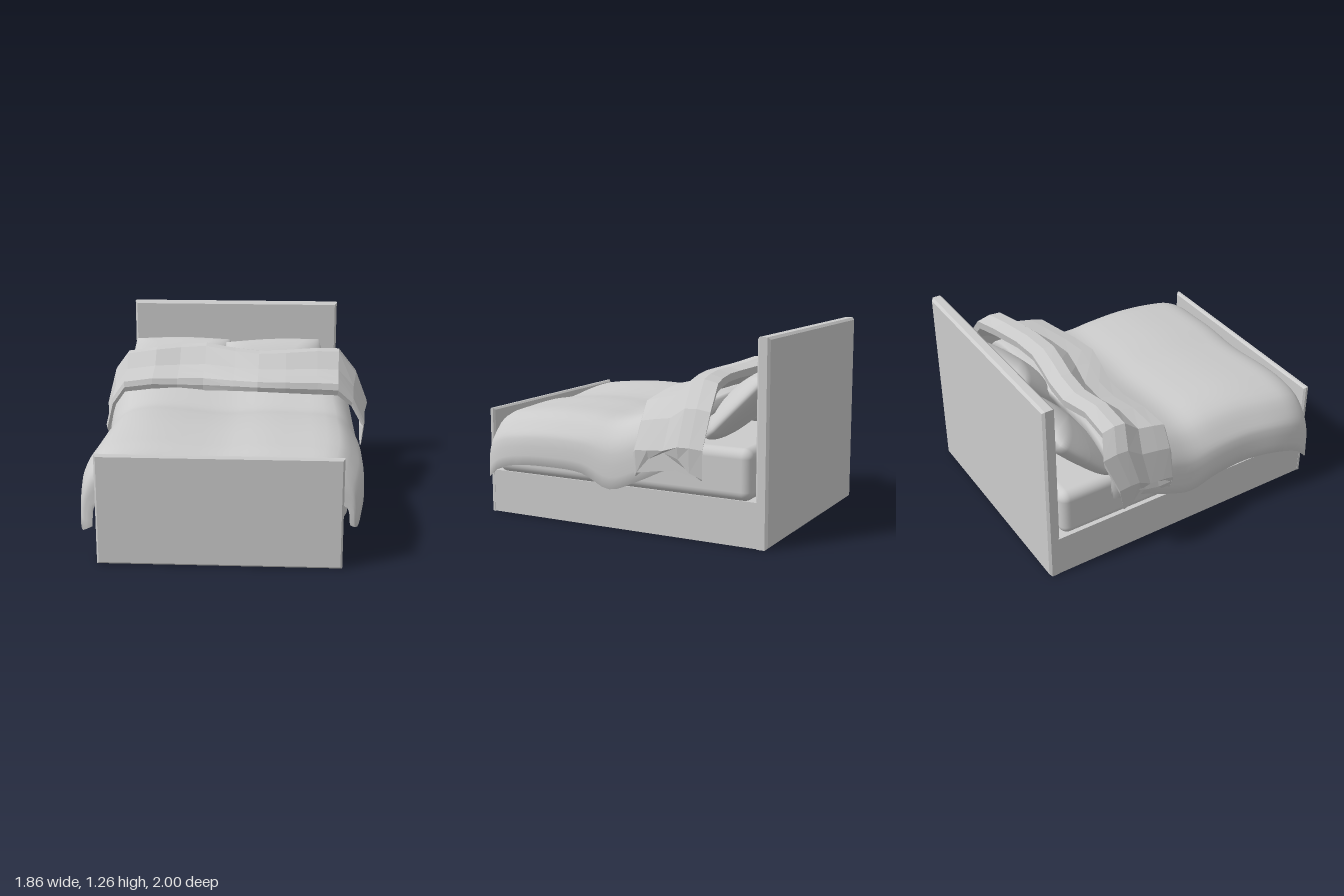
import * as THREE from 'three';
import { RoundedBoxGeometry } from 'three/addons/geometries/RoundedBoxGeometry.js';

const grey = new THREE.MeshStandardMaterial({ color: 0xcccccc });
const cloth = new THREE.MeshStandardMaterial({ color: 0xcccccc, side: THREE.DoubleSide });
const facetedCloth = new THREE.MeshStandardMaterial({ color: 0xcccccc, side: THREE.DoubleSide, flatShading: true });
const V = (x, y, z) => new THREE.Vector3(x, y, z);

function add(group, name, geometry, material) {
  const mesh = new THREE.Mesh(geometry, material);
  mesh.name = name;
  group.add(mesh);
  return mesh;
}

// Board given by its limits on each axis, with chamfered edges
function board(group, name, [x0, x1], [y0, y1], [z0, z1], chamfer) {
  const c = chamfer;
  const shape = new THREE.Shape([
    new THREE.Vector2(x0 + c, y0 + c), new THREE.Vector2(x1 - c, y0 + c),
    new THREE.Vector2(x1 - c, y1 - c), new THREE.Vector2(x0 + c, y1 - c),
  ]);
  const geo = new THREE.ExtrudeGeometry(shape, {
    depth: z1 - z0 - 2 * c, bevelEnabled: true, bevelSize: c, bevelThickness: c, bevelSegments: 1,
  });
  add(group, name, geo.translate(0, 0, z0 + c), grey);
}

// Joins a row of closed cross-sections and caps both ends
function loft(loops) {
  const n = loops[0].length, last = (loops.length - 1) * n, index = [];
  for (let r = 0; r < loops.length - 1; r++) {
    for (let i = 0; i < n; i++) {
      const a = r * n + i, b = r * n + (i + 1) % n;
      index.push(a, b, a + n, b, b + n, a + n);
    }
  }
  // Strip caps between the outer and inner side of the section
  for (let i = 0, j = n - 1; i + 1 < j; i++, j--) {
    index.push(i, j, i + 1);
    index.push(last + i, last + i + 1, last + j);
    if (i + 1 < j - 1) {
      index.push(i + 1, j, j - 1);
      index.push(last + i + 1, last + j - 1, last + j);
    }
  }
  const geo = new THREE.BufferGeometry().setFromPoints(loops.flat());
  geo.setIndex(index);
  geo.computeVertexNormals();
  return geo;
}

// Smooth curve through points, evenly resampled
const smooth = (points, count) => {
  const curve = new THREE.CatmullRomCurve3(points, false, 'centripetal');
  return Array.from({ length: count + 1 }, (_, i) => curve.getPoint(i / count));
};

// Duvet: hanging cross-sections from foot to head
function duvetGeometry() {
  // z, top height, left edge x, its hem height, right edge x, its hem height
  const rows = [
    [0.96, 0.5, -0.84, 0.22, 0.77, 0.26],
    [0.945, 0.63, -0.88, 0.2, 0.79, 0.26],
    [0.85, 0.69, -0.9, 0.29, 0.82, 0.33],
    [0.7, 0.715, -0.9, 0.35, 0.84, 0.37],
    [0.45, 0.735, -0.875, 0.38, 0.845, 0.385],
    [0.2, 0.73, -0.87, 0.36, 0.84, 0.37],
    [0, 0.715, -0.87, 0.31, 0.84, 0.29],
    [-0.2, 0.775, -0.88, 0.38, 0.82, 0.36],
    [-0.4, 0.85, -0.88, 0.47, 0.8, 0.45],
    [-0.58, 0.85, -0.86, 0.5, 0.8, 0.48],
  ];
  // Heights of the soft swell across the bed
  const swell = [[-0.58, 0.02], [-0.4, 0.02], [-0.05, -0.012], [0.2, 0.003], [0.42, -0.003]];
  const sections = rows.map(([z, top, xl, hl, xr, hr]) => {
    const outer = [
      V(xl, hl, z), V(xl + 0.015, (hl + top) / 2, z), V(xl + 0.06, top - 0.11, z), V(xl + 0.15, top - 0.02, z),
      ...swell.map(([x, h]) => V(x, top + h, z)),
      V(xr - 0.16, top - 0.025, z), V(xr - 0.06, top - 0.11, z), V(xr - 0.015, (hr + top) / 2, z), V(xr, hr, z),
    ];
    const inner = [
      V(xr - 0.025, hr + 0.01, z), V(xr - 0.045, (hr + top) / 2, z), V(xr - 0.12, top - 0.11, z), V(0, top - 0.06, z),
      V(xl + 0.12, top - 0.11, z), V(xl + 0.045, (hl + top) / 2, z), V(xl + 0.025, hl + 0.01, z),
    ];
    return [...smooth(outer, 36), ...smooth(inner, 36)];
  });
  const columns = sections[0].map((_, i) => smooth(sections.map((s) => s[i]), 36));
  return loft(columns[0].map((_, r) => columns.map((c) => c[r])));
}

// Folded band of duvet: faceted section carried across the bed
function foldGeometry() {
  // front edge x, y; ridge x, y; front z, back z
  const stations = [
    [-0.86, 0.38, -0.9, 0.42, -0.18, -0.53],
    [-0.9, 0.5, -0.935, 0.62, -0.17, -0.58],
    [-0.855, 0.68, -0.88, 0.85, -0.16, -0.66],
    [-0.77, 0.8, -0.785, 0.98, -0.15, -0.61],
    [-0.58, 0.82, -0.58, 1.01, -0.17, -0.61],
    [-0.41, 0.81, -0.41, 1.02, -0.2, -0.66],
    [-0.23, 0.81, -0.23, 1.035, -0.2, -0.65],
    [-0.02, 0.82, -0.02, 1.01, -0.14, -0.6],
    [0.15, 0.825, 0.15, 1.0, -0.1, -0.57],
    [0.34, 0.815, 0.34, 1.005, -0.12, -0.585],
    [0.56, 0.8, 0.56, 1.01, -0.16, -0.64],
    [0.7, 0.79, 0.715, 1.0, -0.18, -0.68],
    [0.8, 0.7, 0.84, 0.84, -0.2, -0.69],
    [0.88, 0.55, 0.925, 0.62, -0.2, -0.68],
    [0.865, 0.4, 0.905, 0.44, -0.2, -0.67],
  ];
  // Fraction from front to back, fraction from front edge to ridge
  const profile = [
    [0.02, -0.14], [0, 0.04], [0.03, 0.24], [0.21, 0.36], [0.44, 0.48], [0.66, 0.97],
    [0.82, 1], [1, 0.9], [0.98, 0.62], [0.75, 0.5], [0.5, 0.1], [0.25, -0.15],
  ];
  const count = stations.length - 1;
  return loft(stations.map(([fx, fy, rx, ry, zf, zb], s) => profile.map(([u, h]) => {
    // The hanging ends rise toward the middle of their hem
    const lift = s === 0 || s === count ? 0.15 * Math.sin(Math.PI * Math.min(1, u * 1.15)) : 0;
    return V(fx + (rx - fx) * h, fy + (ry - fy) * h + lift, zf + (zb - zf) * u);
  })));
}

// Pillow: squared-off sphere that thins toward its seam
function pillowGeometry(width, length, thickness) {
  const geo = new THREE.SphereGeometry(1, 40, 24);
  const p = geo.attributes.position;
  for (let i = 0; i < p.count; i++) {
    const x = p.getX(i), y = p.getY(i), z = p.getZ(i);
    const r = Math.hypot(x, z), m = Math.max(Math.abs(x), Math.abs(z)) || 1;
    const square = 1 + 0.8 * (r / m - 1);
    p.setXYZ(i, x * square * width / 2, Math.sign(y) * Math.abs(y) ** 1.1 * thickness / 2, z * square * length / 2);
  }
  geo.computeVertexNormals();
  return geo;
}

export function createModel() {
  const bed = new THREE.Group();
  bed.name = 'bed';

  // Frame
  const span = [-0.79, 0.705];
  board(bed, 'base', [-0.79, 0.705], [0.003, 0.285], [-0.96, 0.98], 0.01);
  board(bed, 'headboard', span, [0, 1.265], [-1, -0.92], 0.015);
  board(bed, 'footboard', span, [0, 0.7], [0.96, 1], 0.012);

  // Mattress
  const mattress = add(bed, 'mattress', new RoundedBoxGeometry(1.52, 0.32, 1.83, 4, 0.06), grey);
  mattress.position.set(-0.03, 0.44, 0.015);

  // Pillows leaning on the headboard
  [[-0.43, 0.805, -0.715, 0], [0.27, 0.81, -0.67, 0.2]].forEach(([x, y, z, turn], i) => {
    const pillow = add(bed, i ? 'leftPillow' : 'rightPillow', pillowGeometry(0.74, 0.53, 0.22), grey);
    pillow.position.set(x, y, z);
    pillow.rotation.set(0.8, turn, 0, 'YXZ');
  });

  // Bedding
  add(bed, 'duvet', duvetGeometry(), cloth);
  add(bed, 'duvetFold', foldGeometry(), facetedCloth);
  return bed;
}
